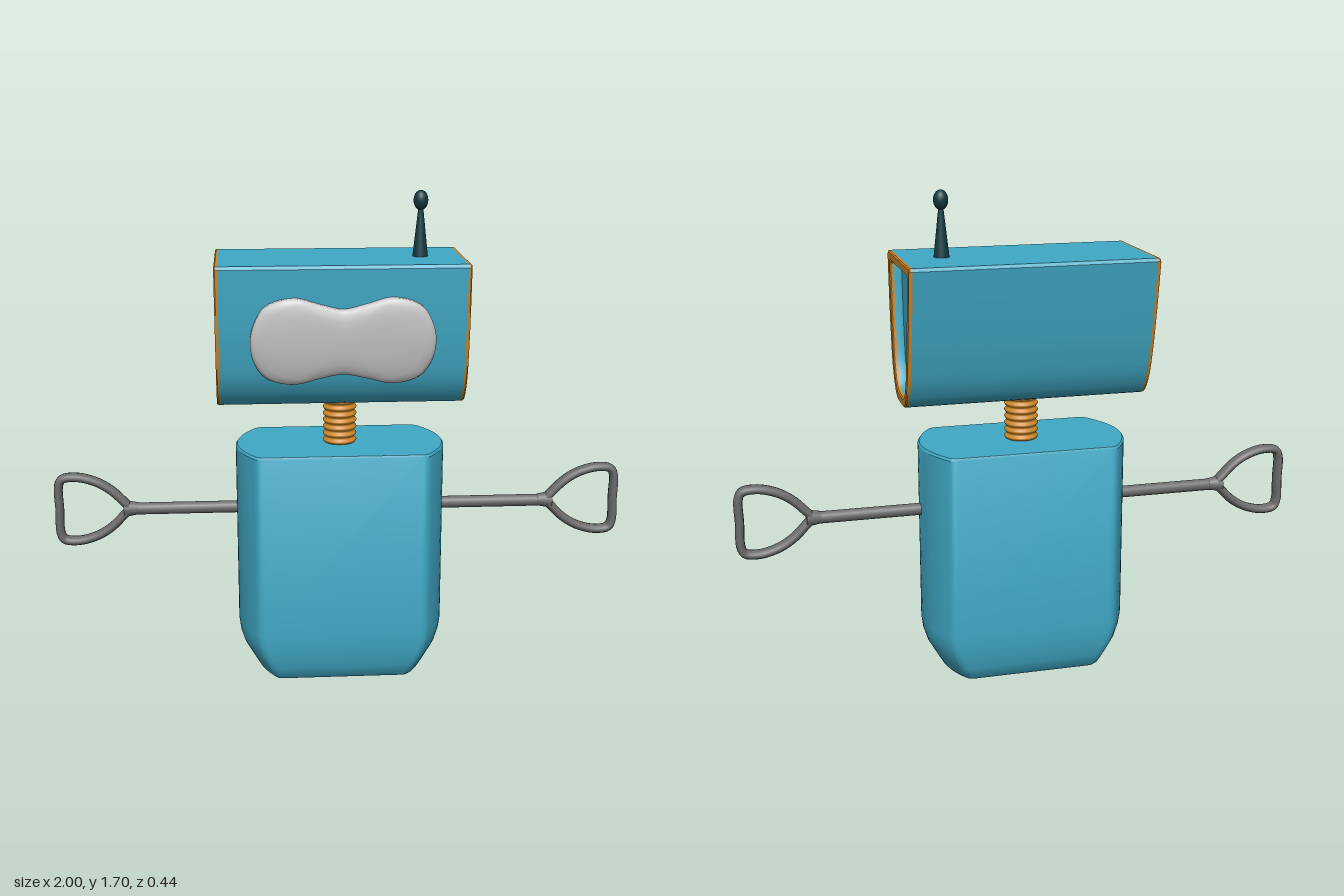
import * as THREE from 'three';
import { toCreasedNormals } from 'three/addons/utils/BufferGeometryUtils.js';

const V = (x, y, z = 0) => new THREE.Vector3(x, y, z);
const mat = (color) => new THREE.MeshStandardMaterial({ color });
const teal = mat(0x40a9c6), orange = mat(0xcc8628), darkGrey = mat(0x6c6c6c);
const darkTeal = mat(0x103a40), grey = mat(0xcccccc);

function add(parent, name, geometry, material) {
  const mesh = new THREE.Mesh(geometry, material);
  mesh.name = name;
  parent.add(mesh);
  return mesh;
}

// Skin a series of closed rings; rings run counter-clockwise seen from the loft direction.
function loft(rings, capStart, capEnd, crease = 0.6) {
  const n = rings[0].length, pts = rings.flat(), index = [];
  for (let i = 0; i < rings.length - 1; i++) {
    for (let j = 0; j < n; j++) {
      const a = i * n + j, b = i * n + (j + 1) % n;
      index.push(a, b, b + n, a, b + n, a + n);
    }
  }
  const cap = (r, flip) => {
    const centre = rings[r].reduce((s, p) => s.add(p), V(0, 0)).divideScalar(n);
    const c = pts.push(centre) - 1;
    for (let j = 0; j < n; j++) {
      const a = r * n + j, b = r * n + (j + 1) % n;
      if (flip) index.push(c, b, a); else index.push(c, a, b);
    }
  };
  if (capStart) cap(0, true);
  if (capEnd) cap(rings.length - 1, false);
  const geo = new THREE.BufferGeometry().setFromPoints(pts);
  geo.setIndex(index);
  return toCreasedNormals(geo, crease);
}

// Body: flat front and back, bowed sides, tapering to the base
function buildBody(root) {
  const corner = new THREE.QuadraticBezierCurve(
    new THREE.Vector2(0.268, 0.2), new THREE.Vector2(0.291, 0.2), new THREE.Vector2(0.304, 0.18)).getPoints(5);
  const side = corner.map((p) => [p.x, p.y]);
  for (let i = 1; i < 12; i++) {
    const z = 0.18 - 0.03 * i;
    side.push([0.364 - 0.06 * (z / 0.18) ** 2, z]);
  }
  corner.reverse().forEach((p) => side.push([p.x, -p.y]));
  const outline = [...side, ...side.map(([x, z]) => [-x, -z])];
  const levels = [[0, 0.78, 0.77], [0.012, 0.81, 0.83], [0.05, 0.87, 0.9], [0.1, 0.95, 0.96],
    [0.14, 0.985, 0.985], [0.18, 1, 1], [0.824, 1, 1], [0.832, 0.985, 0.98]];
  const rings = levels.map(([y, sx, sz]) => outline.map(([x, z]) => V(x * sx, y, z * sz)));
  add(root, 'body', loft(rings, true, true), teal);
}

// Head: tapered shell with a framed, recessed panel at each end
function buildHead(root) {
  const head = new THREE.Group();
  head.name = 'head';
  root.add(head);
  const curve = new THREE.CatmullRomCurve3([[0.194, 1.468], [0.187, 1.35], [0.172, 1.21], [0.14, 1.07],
    [0.08, 0.992], [0, 0.982], [-0.08, 0.99], [-0.127, 1.05], [-0.163, 1.16], [-0.195, 1.32],
    [-0.219, 1.468]].map(([z, y]) => V(0, y, z)));
  const profile = [V(0, 1.479, 0.186), ...curve.getPoints(48), V(0, 1.479, -0.212)];
  const ring = (x, sz = 1, sy = sz) =>
    profile.map((p) => V(x, 1.23 + (p.y - 1.23) * sy, -0.01 + (p.z + 0.01) * sz));

  add(head, 'headShell', loft([ring(-0.412), ring(0.412)]), teal);
  const rim = loft([ring(0.412), ring(0.42), ring(0.424, 0.985), ring(0.424, 0.82, 0.895),
    ring(0.42, 0.8, 0.88), ring(0.41, 0.8, 0.88)]);
  const panel = loft([ring(0.41, 0.8, 0.88), ring(0.395, 0.78, 0.865), ring(0.385, 0.74, 0.84)], false, true);
  for (const s of [1, -1]) {
    const end = new THREE.Group();
    end.name = s > 0 ? 'leftHeadEnd' : 'rightHeadEnd';
    end.scale.x = s;
    add(end, 'endRim', rim, orange);
    add(end, 'endPanel', panel, teal);
    head.add(end);
  }

  // Visor: padded two-lobed plate following the curve of the face
  const half = [[0.08, -0.13], [0.17, -0.15], [0.26, -0.123], [0.303, -0.05], [0.305, 0.035],
    [0.26, 0.12], [0.165, 0.149], [0.08, 0.128]];
  const loop = [[0, -0.115], ...half, [0, 0.11], ...half.map(([x, y]) => [-x, y]).reverse()];
  const outline = new THREE.CatmullRomCurve3(loop.map(([x, y]) => V(x, y)), true).getPoints(96).slice(0, -1);
  const layers = [[1, -0.02], [1, 0.016], [0.985, 0.024], [0.95, 0.029], [0.85, 0.034], [0.65, 0.038],
    [0.4, 0.04], [0.15, 0.04]];
  const rings = layers.map(([s, off]) => outline.map((p) => {
    const y = 1.225 + p.y * s;
    return V(p.x * s, y, 0.19 - 0.45 * (1.4 - y) ** 2 + off);
  }));
  add(head, 'visor', loft(rings, true, true, 0.9), grey);
}

// Neck: ribbed column
function buildNeck(root) {
  const points = [];
  for (let i = 0; i <= 64; i++) {
    points.push(new THREE.Vector2(0.055 + 0.004 * Math.sin(i * Math.PI / 4), 0.81 + 0.19 * i / 64));
  }
  add(root, 'neck', new THREE.LatheGeometry(points, 32), orange);
}

// Antenna: tapered stalk with an oval tip
function buildAntenna(root) {
  const antenna = new THREE.Group();
  antenna.name = 'antenna';
  antenna.position.set(0.275, 1.475, -0.006);
  add(antenna, 'antennaStalk', new THREE.CylinderGeometry(0.007, 0.027, 0.18, 24), darkTeal).position.y = 0.09;
  const tip = add(antenna, 'antennaTip', new THREE.SphereGeometry(0.025, 24, 16), darkTeal);
  tip.position.y = 0.193;
  tip.scale.y = 1.35;
  root.add(antenna);
}

// Arms: straight rods ending in D-shaped grips
function buildArms(root) {
  const upper = [[0.77, 0.034], [0.81, 0.072], [0.86, 0.101], [0.925, 0.117], [0.973, 0.11], [0.985, 0.085]];
  const path = [[0.745, 0], ...upper, [0.985, 0], ...upper.map(([x, y]) => [x, -y]).reverse()];
  const grip = new THREE.TubeGeometry(
    new THREE.CatmullRomCurve3(path.map(([x, y]) => V(x, y)), true), 96, 0.0155, 12, true);
  grip.scale(1, 1, 1.65);
  const rod = new THREE.CylinderGeometry(0.021, 0.021, 0.42, 20).rotateZ(-Math.PI / 2);
  const collar = new THREE.CylinderGeometry(0.03, 0.021, 0.05, 20).rotateZ(-Math.PI / 2);
  for (const s of [1, -1]) {
    const arm = new THREE.Group();
    arm.name = s > 0 ? 'leftArm' : 'rightArm';
    arm.position.y = 0.6;
    arm.rotation.y = s > 0 ? 0 : Math.PI;
    add(arm, 'armRod', rod, darkGrey).position.set(0.53, -0.003, 0);
    add(arm, 'armCollar', collar, darkGrey).position.set(0.735, -0.002, 0);
    add(arm, 'handGrip', grip, darkGrey);
    root.add(arm);
  }
}

export function createModel() {
  const root = new THREE.Group();
  root.name = 'robot';
  buildBody(root);
  buildNeck(root);
  buildHead(root);
  buildAntenna(root);
  buildArms(root);
  return root;
}
